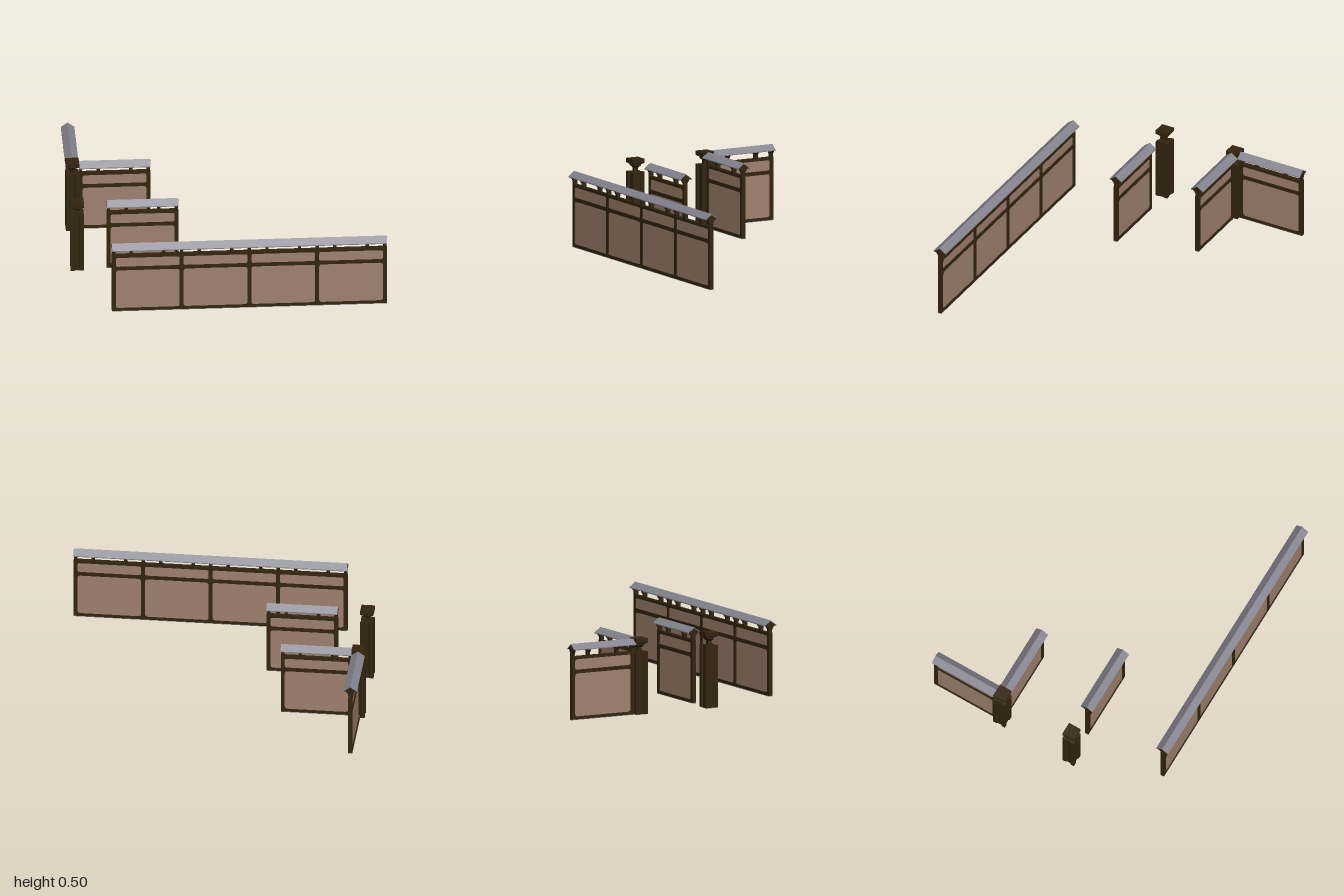
import * as THREE from 'three';

const wood = new THREE.MeshStandardMaterial({ color: 0x33240f });
wood.name = 'darkWood';
const plaster = new THREE.MeshStandardMaterial({ color: 0xa08270 });
plaster.name = 'tanPlaster';
const slate = new THREE.MeshStandardMaterial({ color: 0x85848f });
slate.name = 'greySlate';

const BAY = 0.4355, BEAM = 0.025;

function add(parent, name, geometry, material, x = 0, y = 0, z = 0) {
  const mesh = new THREE.Mesh(geometry, material);
  mesh.name = name;
  mesh.position.set(x, y, z);
  parent.add(mesh);
  return mesh;
}

const polygon = (points) => new THREE.Shape(points.map(([x, y]) => new THREE.Vector2(x, y)));

// Cross-section of (z, y) points swept along x from 0 to length
function sweep(points, length) {
  return new THREE.ExtrudeGeometry(polygon(points), { depth: length, bevelEnabled: false }).rotateY(Math.PI / 2);
}

// Opening with rounded corners, used as a hole in the frame
function opening(x0, y0, x1, y1, r) {
  const p = new THREE.Path();
  p.moveTo(x0 + r, y0);
  p.lineTo(x1 - r, y0);
  p.quadraticCurveTo(x1, y0, x1, y0 + r);
  p.lineTo(x1, y1 - r);
  p.quadraticCurveTo(x1, y1, x1 - r, y1);
  p.lineTo(x0 + r, y1);
  p.quadraticCurveTo(x0, y1, x0, y1 - r);
  p.lineTo(x0, y0 + r);
  p.quadraticCurveTo(x0, y0, x0 + r, y0);
  return p;
}

// Roofed wall running along local +x from its origin
function makeWall(name, bays) {
  const wall = new THREE.Group();
  wall.name = name;
  const length = bays * BAY + BEAM;

  // Timber frame with a tall and a low opening in every bay
  const outline = polygon([[0, 0.004], [length, 0.004], [length, 0.413], [0, 0.413]]);
  for (let i = 0; i < bays; i++) {
    const x0 = i * BAY + BEAM, x1 = (i + 1) * BAY;
    outline.holes.push(opening(x0, 0.022, x1, 0.302, 0.02));
    outline.holes.push(opening(x0, 0.326, x1, 0.394, 0.014));
  }
  const frame = new THREE.ExtrudeGeometry(outline, { depth: 0.026, bevelEnabled: false, curveSegments: 4 });
  add(wall, 'frame', frame, wood, 0, 0, -0.013);
  add(wall, 'infill', new THREE.BoxGeometry(length - 0.02, 0.39, 0.014), plaster, length / 2, 0.21, 0);
  add(wall, 'footing', new THREE.BoxGeometry(length, 0.004, 0.026), slate, length / 2, 0.002, 0);

  // Flared brackets on the posts and at the quarter points of each bay
  const bracket = sweep([[-0.012, 0.41], [0.012, 0.41], [0.013, 0.434], [0.03, 0.459], [-0.03, 0.459], [-0.013, 0.434]], 0.02);
  for (let i = 0; i <= bays; i++) {
    add(wall, 'bracket', bracket, wood, i * BAY + 0.0025);
    if (i === bays) break;
    for (const t of [0.26, 0.74]) add(wall, 'bracket', bracket, wood, (i + t) * BAY + 0.0025);
  }

  // Wooden roof core under thin slate slopes
  add(wall, 'roofCore', sweep([[-0.0425, 0.457], [0.0425, 0.457], [0, 0.489]], length), wood);
  const slopes = [[-0.0435, 0.457], [0, 0.489], [0.0435, 0.457], [0.0435, 0.463], [0, 0.495], [-0.0435, 0.463]];
  add(wall, 'roofSlopes', sweep(slopes, length - 0.002), slate, 0.001);
  return wall;
}

// Square pillar with grooved sides, waisted neck and flat cap
function makePillar(name) {
  const pillar = new THREE.Group();
  pillar.name = name;
  const a = 0.043, g = 0.014, d = 0.036;
  const side = [[-a, -a], [-g - 0.004, -a], [-g, -d], [g, -d], [g + 0.004, -a]];
  const section = [];
  for (let k = 0; k < 4; k++) {
    const c = Math.round(Math.cos(k * Math.PI / 2)), s = Math.round(Math.sin(k * Math.PI / 2));
    for (const [x, y] of side) section.push([x * c - y * s, x * s + y * c]);
  }
  const shaft = new THREE.ExtrudeGeometry(polygon(section), { depth: 0.406, bevelEnabled: false }).rotateX(-Math.PI / 2);
  add(pillar, 'shaft', shaft, wood, 0, 0.004, 0);
  add(pillar, 'footing', new THREE.BoxGeometry(0.07, 0.004, 0.07), slate, 0, 0.002, 0);

  const taper = (top, bottom, h) =>
    new THREE.CylinderGeometry(top * Math.SQRT2, bottom * Math.SQRT2, h, 4, 1).rotateY(Math.PI / 4).toNonIndexed();
  const pieces = [['neck', 0.013, 0.013, 0.41, 0.436], ['neckFlare', 0.026, 0.013, 0.436, 0.45],
    ['collar', 0.026, 0.026, 0.45, 0.462], ['capFlare', 0.043, 0.036, 0.462, 0.468], ['cap', 0.043, 0.043, 0.468, 0.495]];
  for (const [part, top, bottom, y0, y1] of pieces) {
    const geometry = taper(top, bottom, y1 - y0);
    geometry.computeVertexNormals();
    add(pillar, part, geometry, wood, 0, (y0 + y1) / 2, 0);
  }
  return pillar;
}

export function createModel() {
  const model = new THREE.Group();
  model.name = 'wallSet';
  const place = (object, x, z, turn = 0) => {
    object.position.set(x, 0, z);
    object.rotation.y = turn;
    model.add(object);
  };

  // Separate long wall, short wall and pillar
  place(makeWall('longWall', 4), -0.767, 0.766);
  place(makeWall('shortWall', 1), -0.767, 0.203);
  place(makePillar('pillar'), -0.957, 0.203);

  // Corner: a pillar with two short walls at right angles
  place(makePillar('cornerPillar'), -0.957, -0.312);
  place(makeWall('cornerFrontWall', 1), -0.916, -0.312);
  place(makeWall('cornerSideWall', 1), -0.957, -0.352, Math.PI / 2);
  return model;
}
